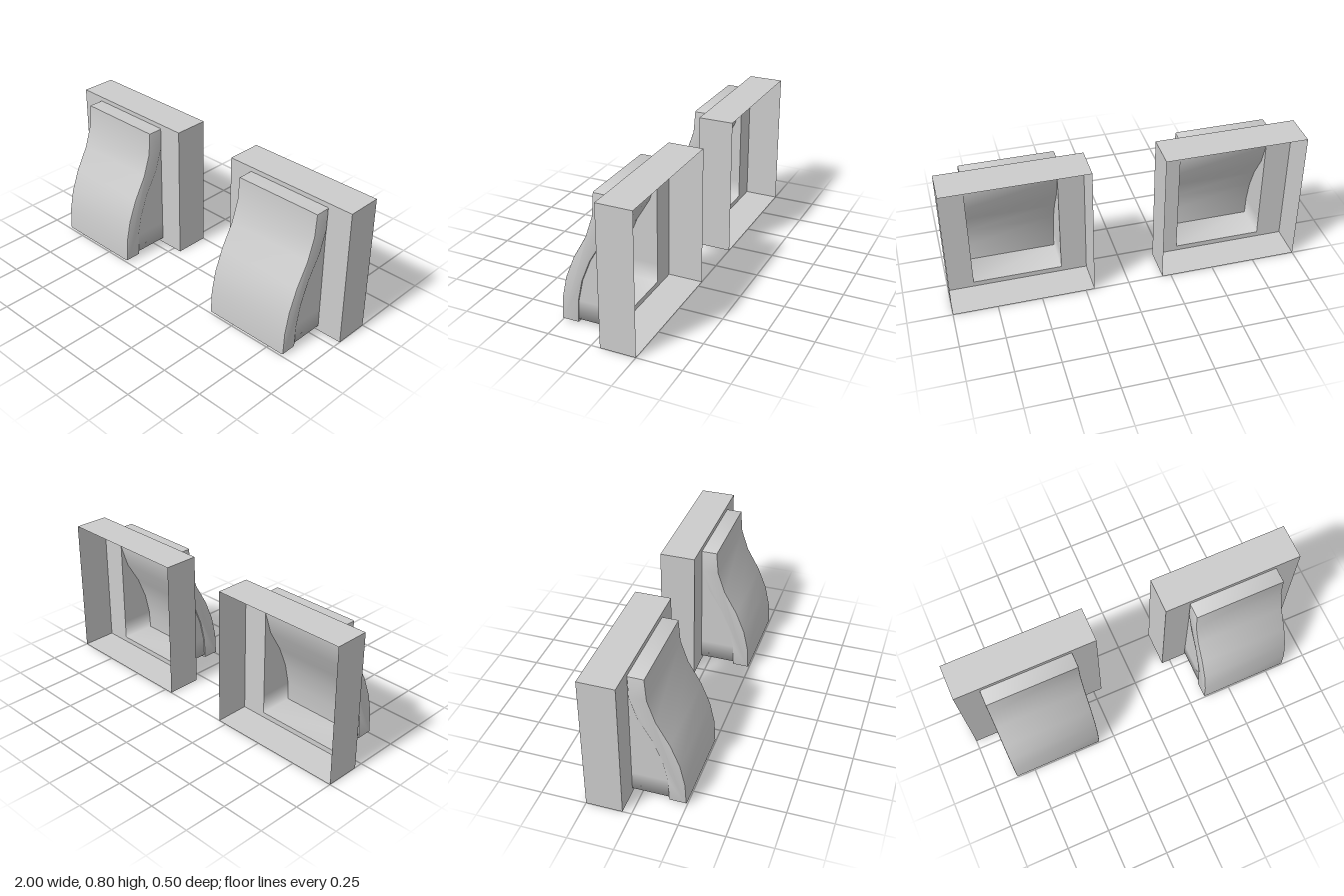
import * as THREE from 'three';
import { toCreasedNormals } from 'three/addons/utils/BufferGeometryUtils.js';

// Flap section from top to bottom: [y, front z, back z]
const SECTION = [
  [0.775, 0.040, -0.049], [0.645, 0.050, -0.047], [0.52, 0.092, -0.007],
  [0.39, 0.165, 0.070], [0.265, 0.215, 0.120], [0.14, 0.242, 0.147], [0.012, 0.248, 0.153],
];
const FRONT_Z = -0.05, DEPTH = 0.2, SIZE = 0.8;
const FLAP_W = 0.52, SKIRT_HALF = 0.253, SKIRT_BOTTOM = 0.03;

// Curved slab, extruded across x with softened side edges
function flapGeometry() {
  const bevel = 0.007;
  const outline = [
    ...SECTION.map(([y, f]) => new THREE.Vector2(-f, y)),
    ...SECTION.map(([y, , b]) => new THREE.Vector2(-b, y)).reverse(),
  ];
  const geo = new THREE.ExtrudeGeometry(new THREE.Shape(outline), {
    depth: FLAP_W - 2 * bevel, bevelThickness: bevel, bevelSize: bevel,
    bevelOffset: -bevel, bevelSegments: 2,
  });
  geo.translate(0, 0, -FLAP_W / 2 + bevel);
  geo.rotateY(Math.PI / 2);
  return toCreasedNormals(geo, 0.65);
}

// Open duct behind the flap: one side, the floor and the other side as one strip
function skirtGeometry() {
  const rows = SECTION.map(([y, , b]) => [Math.max(y, SKIRT_BOTTOM), b]);
  const path = [
    ...rows.map(([y, b]) => [SKIRT_HALF, y, b]),
    ...rows.map(([y, b]) => [-SKIRT_HALF, y, b]).reverse(),
  ];
  const pos = [], index = [];
  path.forEach(([x, y, b], i) => {
    pos.push(x, y, FRONT_Z, x, y, b + 0.002);
    if (i > 0) {
      const a = 2 * (i - 1);
      index.push(a, a + 1, a + 3, a, a + 3, a + 2);
    }
  });
  const geo = new THREE.BufferGeometry();
  geo.setAttribute('position', new THREE.Float32BufferAttribute(pos, 3));
  geo.setIndex(index);
  geo.computeVertexNormals();
  return geo;
}

// Four thin housing walls, open at front and back
function wallsGeometry() {
  const geo = new THREE.BoxGeometry(SIZE, SIZE, DEPTH);
  geo.setIndex(Array.from(geo.index.array).slice(0, 24));
  geo.clearGroups();
  geo.translate(0, SIZE / 2, FRONT_Z - DEPTH / 2);
  return geo;
}

// Front plate with the opening into the duct
function plateGeometry() {
  const rect = (path, x, y0, y1) =>
    path.moveTo(-x, y0).lineTo(x, y0).lineTo(x, y1).lineTo(-x, y1).closePath();
  const shape = rect(new THREE.Shape(), SIZE / 2, 0, SIZE);
  shape.holes.push(rect(new THREE.Path(), SKIRT_HALF, SKIRT_BOTTOM, 0.77));
  return new THREE.ShapeGeometry(shape).translate(0, 0, FRONT_Z);
}

export function createModel() {
  const grey = new THREE.MeshStandardMaterial({ color: 0xcccccc, side: THREE.DoubleSide });
  grey.name = 'light grey';
  const parts = {
    housingWalls: wallsGeometry(),
    frontPlate: plateGeometry(),
    ductSkirt: skirtGeometry(),
    flap: flapGeometry(),
  };

  // Two identical vents side by side
  const model = new THREE.Group();
  model.name = 'wallVents';
  for (const [name, x] of [['leftVent', 0.6], ['rightVent', -0.6]]) {
    const vent = new THREE.Group();
    vent.name = name;
    vent.position.x = x;
    for (const [part, geo] of Object.entries(parts)) {
      const mesh = new THREE.Mesh(geo, grey);
      mesh.name = part;
      vent.add(mesh);
    }
    model.add(vent);
  }
  return model;
}
